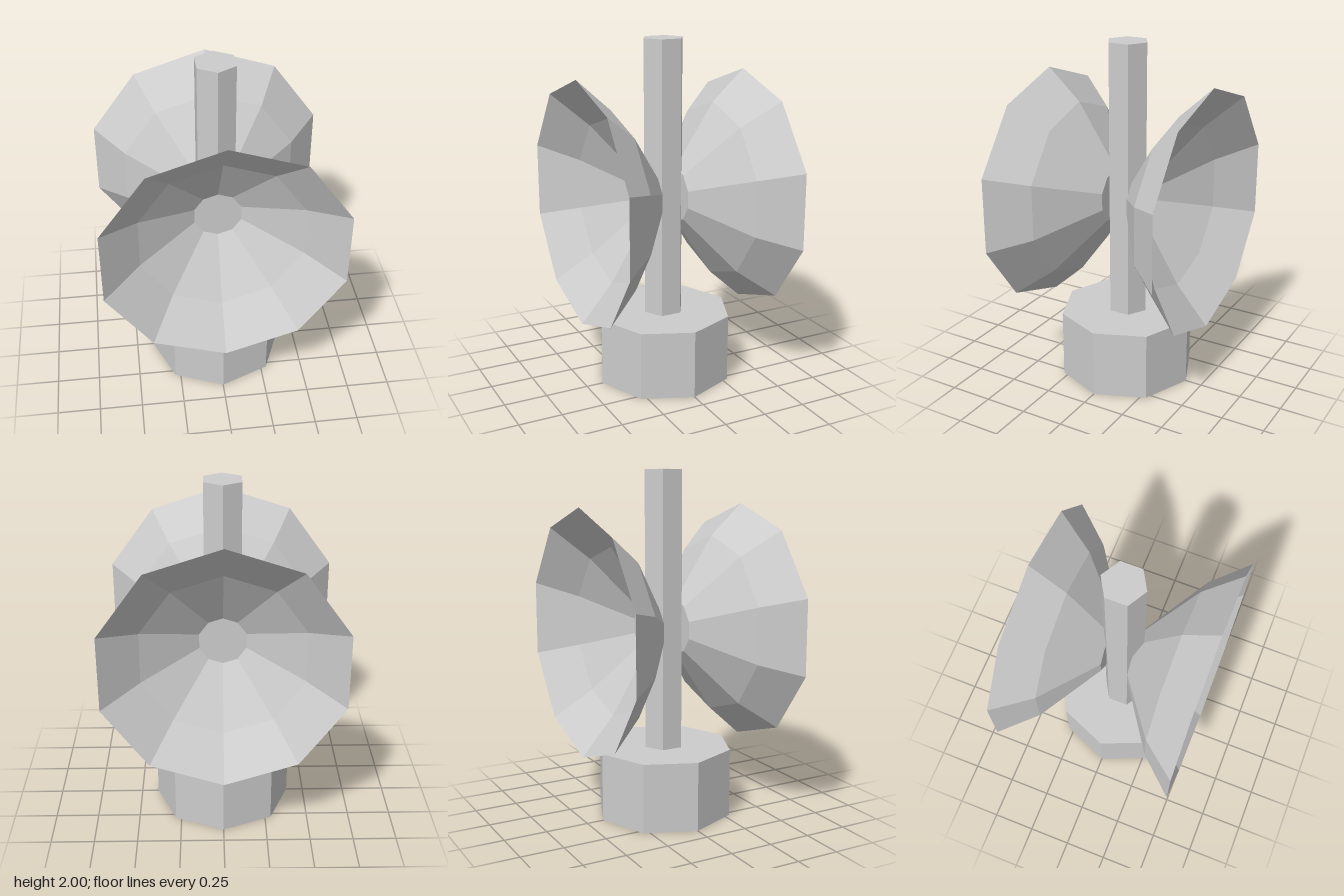
import * as THREE from 'three';

export function createModel() {
  const model = new THREE.Group();
  const grey = new THREE.MeshStandardMaterial({ color: 0xcccccc, flatShading: true });
  grey.name = 'light grey';

  const add = (name, geometry, y) => {
    const mesh = new THREE.Mesh(geometry, grey);
    mesh.name = name;
    mesh.position.y = y;
    model.add(mesh);
    return mesh;
  };

  // Octagonal foot and hexagonal mast
  add('base', new THREE.CylinderGeometry(0.4, 0.4, 0.4, 8), 0.2);
  add('mast', new THREE.CylinderGeometry(0.12, 0.12, 1.6, 6), 1.2);

  // Ten-sided dish: outer shell up to a sharp rim, then back down the inside
  const profile = [
    [0, 0.08], [0.16, 0.08], [0.52, 0.32], [0.7, 0.52],
    [0.48, 0.33], [0.14, 0.12], [0, 0.12],
  ].map(([r, d]) => new THREE.Vector2(r, d));
  const dish = new THREE.LatheGeometry(profile, 10).rotateX(Math.PI / 2);

  // One dish opens forwards, the other backwards
  add('frontDish', dish, 1.1);
  add('backDish', dish, 1.1).rotation.y = Math.PI;

  return model;
}
